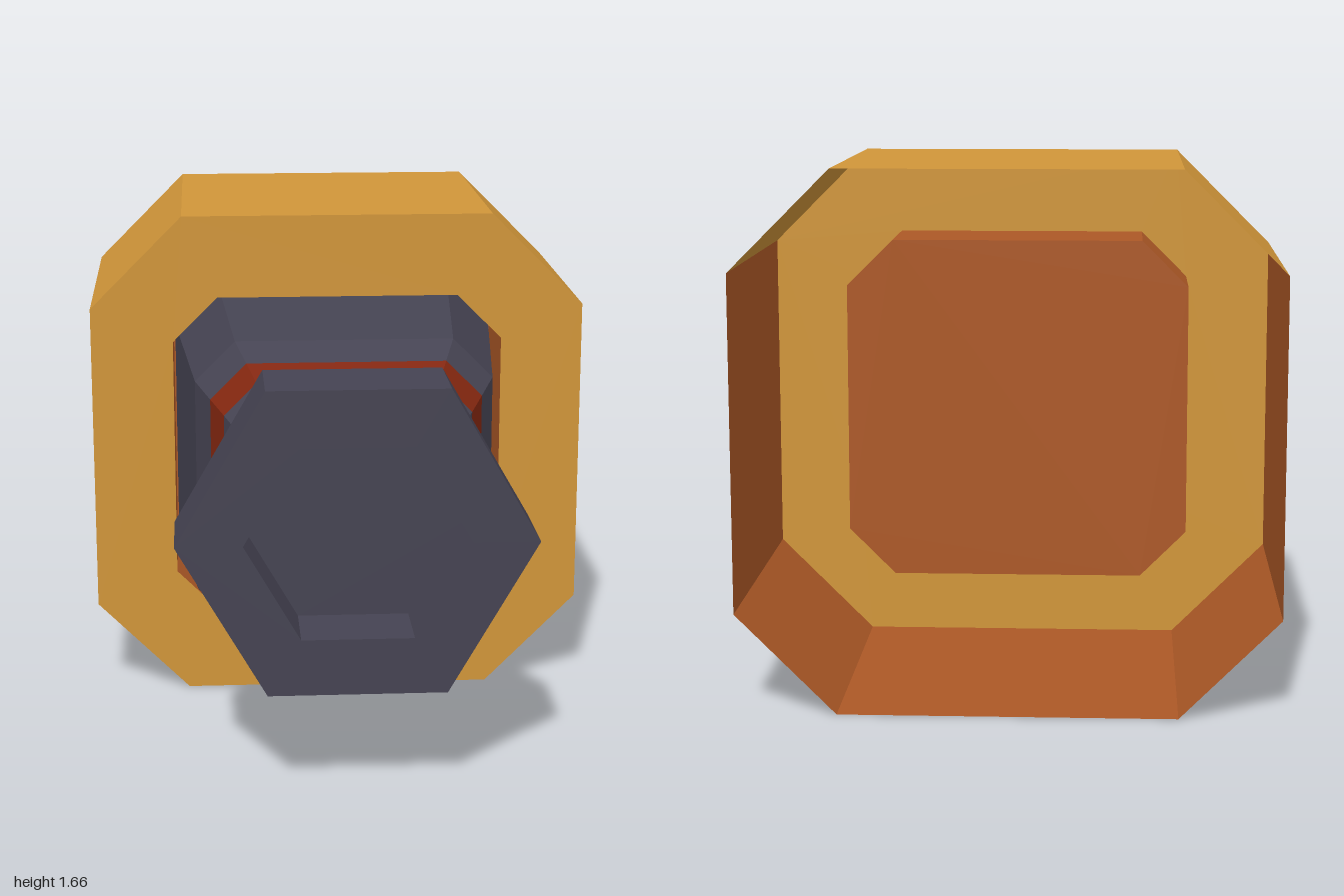
import * as THREE from 'three';

const CY = 0.833; // height of the shared axis

const paint = (name, color, side = THREE.FrontSide) => {
  const m = new THREE.MeshStandardMaterial({ color, side });
  m.name = name;
  return m;
};

// chamfered square: half width w, flat half length c, counter-clockwise from +z
const octagon = (w, c) =>
  [[w, -c], [w, c], [c, w], [-c, w], [-w, c], [-w, -c], [-c, -w], [c, -w]];

const hexagon = (r) => Array.from({ length: 6 }, (_, i) =>
  [r * Math.cos(i * Math.PI / 3), r * Math.sin(i * Math.PI / 3)]);

const toShape = (pts) => new THREE.Shape(pts.map(([x, y]) => new THREE.Vector2(x, y)));

const withHole = (outer, inner) => {
  const s = toShape(outer);
  s.holes.push(toShape(inner));
  return s;
};

// flat-sided band between two rings; edges picks which sides to build
function loft(back, zBack, front, zFront, edges = back.map((_, i) => i)) {
  const pos = [];
  for (const i of edges) {
    const j = (i + 1) % back.length;
    const a = [...back[i], zBack], b = [...back[j], zBack];
    const c = [...front[j], zFront], d = [...front[i], zFront];
    pos.push(...a, ...b, ...c, ...a, ...c, ...d);
  }
  const g = new THREE.BufferGeometry();
  g.setAttribute('position', new THREE.Float32BufferAttribute(pos, 3));
  g.computeVertexNormals();
  return g;
}

export function createModel() {
  const gold = paint('gold', 0xd09539, THREE.DoubleSide);
  const brown = paint('brown', 0xac5826, THREE.DoubleSide);
  const slate = paint('slate', 0x454352);
  const red = paint('red', 0x82260f);

  const model = new THREE.Group();
  model.name = 'model';
  const add = (name, geometry, material, z = 0) => {
    const mesh = new THREE.Mesh(geometry, material);
    mesh.name = name;
    mesh.position.set(0, CY, z);
    model.add(mesh);
  };

  // open-backed housing: gold roof, brown sides and floor
  const shell = octagon(0.83, 0.52);
  const opening = octagon(0.555, 0.405);
  const zFace = -0.01, zCup = -0.33;
  add('housingRoof', loft(shell, -1, shell, zFace, [1, 2, 3]), gold);
  add('housingSides', loft(shell, -1, shell, zFace, [0, 4, 5, 6, 7]), brown);
  add('housingFace', new THREE.ShapeGeometry(withHole(shell, opening)), gold, zFace);

  // socket that holds the neck
  add('socketWalls', loft(opening, zCup, opening, zFace), brown);
  add('socketBack', new THREE.ShapeGeometry(toShape(opening)), brown, zCup);

  // tapering neck with a red stripe: z, half width, flat half length
  const neck = [
    [-0.325, 0.55, 0.402], [0.34, 0.482, 0.352],
    [0.45, 0.434, 0.318], [0.545, 0.392, 0.289], [0.73, 0.312, 0.232],
  ];
  for (let i = 0; i < neck.length - 1; i++) {
    const [z0, w0, c0] = neck[i], [z1, w1, c1] = neck[i + 1];
    const stripe = i === 2;
    add(stripe ? 'neckStripe' : 'neck' + i,
      loft(octagon(w0, c0), z0, octagon(w1, c1), z1), stripe ? red : slate);
  }

  // hexagonal nut with a blind hexagonal recess
  const extrude = (shape, depth) =>
    new THREE.ExtrudeGeometry(shape, { depth, bevelEnabled: false });
  add('nut', extrude(withHole(hexagon(0.55), hexagon(0.345)), 0.275), slate, 0.725);
  add('nutRecessFloor', extrude(toShape(hexagon(0.345)), 0.05), slate, 0.725);

  return model;
}
